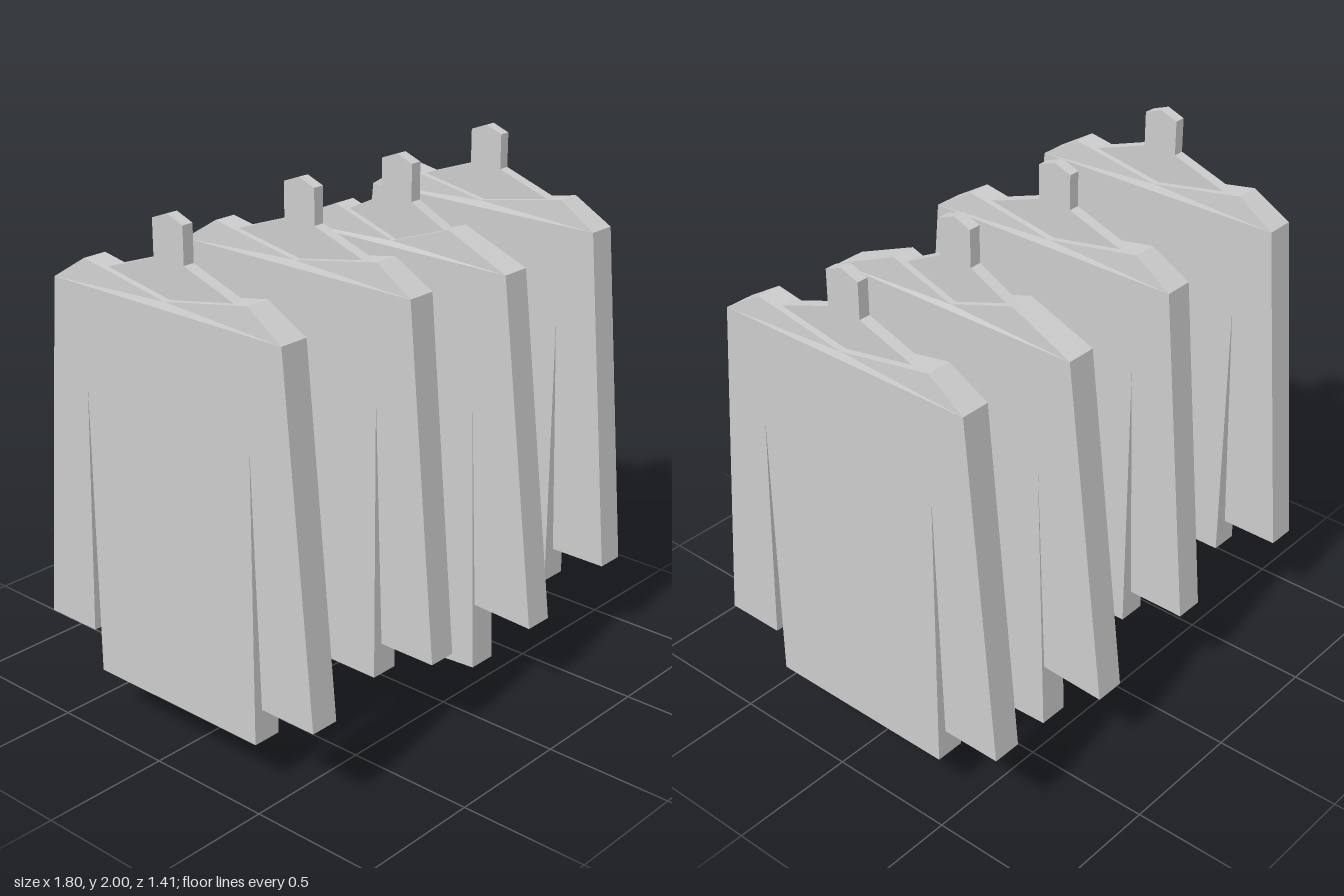
import * as THREE from 'three';

const grey = new THREE.MeshStandardMaterial({ color: 0xcccccc });
grey.name = 'lightGrey';

// Extrude a (z, y) outline across x, centred on x = 0
function slab(name, points, width, rule) {
  const shape = new THREE.Shape(points.map(([z, y]) => new THREE.Vector2(z, y)));
  const geo = new THREE.ExtrudeGeometry(shape, { depth: width, bevelEnabled: false });
  geo.translate(0, 0, -width / 2).rotateY(-Math.PI / 2);
  if (rule) {
    const p = geo.attributes.position;
    for (let i = 0; i < p.count; i++) p.setX(i, p.getX(i) * rule(p.getY(i)));
    geo.computeVertexNormals();
  }
  const mesh = new THREE.Mesh(geo, grey);
  mesh.name = name;
  return mesh;
}

function makeGarment(s) {
  const group = new THREE.Group();
  // Cloth below the shoulder fold: torso and two hanging sleeves
  group.add(slab('bodyAndSleeves', [
    s.shoulderFront, [0, s.foldY], s.shoulderBack,
    s.cuffBack, s.cuffBackInner, s.slitBack,
    s.hemBack, ...s.hemMiddle, s.hemFront,
    s.slitFront, s.cuffFrontInner, s.cuffFront,
  ], s.width));
  // Shoulders and neckline, thinner towards the top edge
  group.add(slab('shoulders', [
    s.shoulderFront, s.peakFront, [0, s.neckY], s.peakBack, s.shoulderBack, [0, s.foldY],
  ], s.width, (y) => (y > s.shoulderFront[1] + 0.01 ? 0.83 : 1)));
  // Hanger with a short upright hook
  const h = s.hanger;
  group.add(slab('hanger', [
    [0, h.top], [0.072, h.top - 0.027], [0.072, h.armY], [h.reach, h.endY],
    [0, s.neckY - 0.03],
    [-h.reach, h.endY], [-0.072, h.armY], [-0.072, h.top - 0.027],
  ], h.width));
  return group;
}

const shirt = {
  width: 0.115, foldY: 1.61, neckY: 1.705,
  shoulderFront: [0.54, 1.68], shoulderBack: [-0.547, 1.68],
  peakFront: [0.383, 1.775], peakBack: [-0.395, 1.775],
  cuffFront: [0.663, 0.335], cuffFrontInner: [0.425, 0.335], slitFront: [0.39, 1.295],
  cuffBack: [-0.672, 0.335], cuffBackInner: [-0.435, 0.335], slitBack: [-0.4, 1.31],
  hemFront: [0.39, 0.18], hemMiddle: [], hemBack: [-0.4, 0.18],
  hanger: { top: 2, armY: 1.837, reach: 0.31, endY: 1.755, width: 0.045 },
};

const longShirt = {
  width: 0.12, foldY: 1.55, neckY: 1.66,
  shoulderFront: [0.54, 1.64], shoulderBack: [-0.54, 1.64],
  peakFront: [0.27, 1.752], peakBack: [-0.28, 1.752],
  cuffFront: [0.705, 0.285], cuffFrontInner: [0.445, 0.297], slitFront: [0.405, 1.2],
  cuffBack: [-0.705, 0.285], cuffBackInner: [-0.443, 0.297], slitBack: [-0.405, 1.2],
  hemFront: [0.444, 0.022], hemMiddle: [[0.1, 0]], hemBack: [-0.441, 0.022],
  hanger: { top: 1.985, armY: 1.815, reach: 0.23, endY: 1.737, width: 0.048 },
};

export function createModel() {
  const model = new THREE.Group();
  model.name = 'hangingGarments';
  // Row of garments along x
  [[-0.842, shirt], [-0.217, shirt], [0.31, longShirt], [0.842, shirt]].forEach(([x, spec], i) => {
    const g = makeGarment(spec);
    g.name = (spec === shirt ? 'shirt' : 'longShirt') + (i + 1);
    g.position.x = x;
    model.add(g);
  });
  return model;
}
